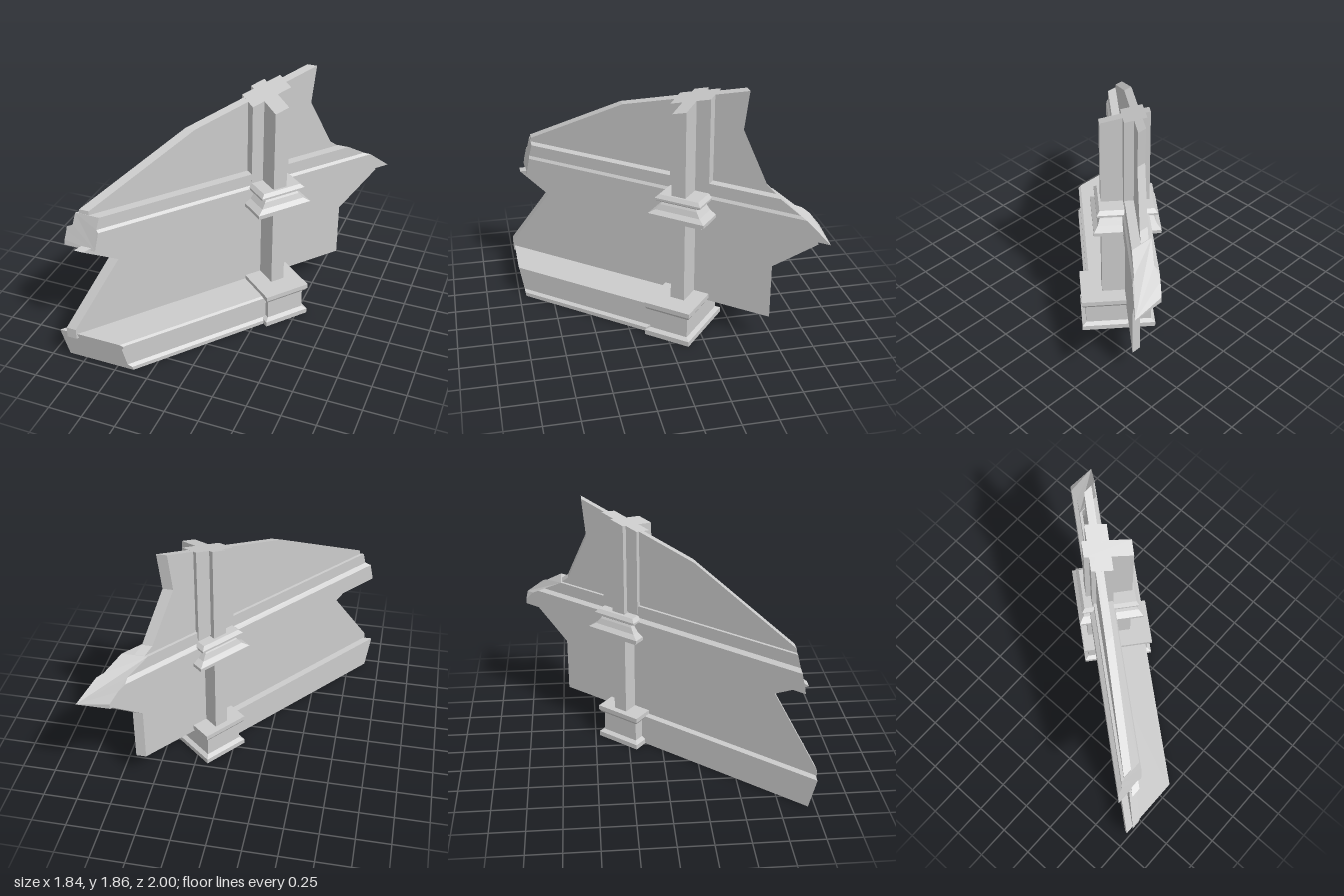
import * as THREE from 'three';

// The wall runs along u (towards back right); w is its outward normal.
const ANGLE = THREE.MathUtils.degToRad(50.1);
const C = Math.cos(ANGLE), S = Math.sin(ANGLE);
const fromUW = (u, y, w) => new THREE.Vector3(C * u + S * w, y, -S * u + C * w);
const fromZW = (z, y, w) => new THREE.Vector3((w - C * z) / S, y, z);

const material = new THREE.MeshStandardMaterial({ color: 0xcccccc, flatShading: true });

// Closed solid through matching rings; contour is the 2D outline of the caps.
function loft(name, contour, rings) {
  let outline = contour.map(([a, b]) => new THREE.Vector2(a, b));
  if (THREE.ShapeUtils.isClockWise(outline)) {
    outline = outline.reverse();
    rings = rings.map((r) => [...r].reverse());
  }
  const tris = [], n = outline.length, last = rings[rings.length - 1];
  for (let k = 0; k + 1 < rings.length; k++) {
    const a = rings[k], b = rings[k + 1];
    for (let i = 0; i < n; i++) {
      const j = (i + 1) % n;
      tris.push([a[i], a[j], b[j]], [a[i], b[j], b[i]]);
    }
  }
  for (const [i, j, k] of THREE.ShapeUtils.triangulateShape(outline, [])) {
    tris.push([last[i], last[j], last[k]], [rings[0][k], rings[0][j], rings[0][i]]);
  }
  // turn the faces outwards
  const volume = tris.reduce((v, [a, b, c]) => v + a.dot(b.clone().cross(c)), 0);
  const points = tris.flatMap(([a, b, c]) => (volume < 0 ? [a, c, b] : [a, b, c]));
  const geometry = new THREE.BufferGeometry().setFromPoints(points);
  geometry.computeVertexNormals();
  const mesh = new THREE.Mesh(geometry, material);
  mesh.name = name;
  return mesh;
}

// Slab between two w planes with a broken outline of [z, y] points
const panel = (name, outline, w0, w1) =>
  loft(name, outline, [w0, w1].map((w) => outline.map(([z, y]) => fromZW(z, y, w))));

// Moulding along the wall: [w, y, left end z, right end z]
const moulding = (name, section) =>
  loft(name, section, [2, 3].map((e) => section.map((p) => fromZW(p[e], p[1], p[0]))));

// Rectangular stack: levels of [y or y(z), inset along u, inset along w]
function stack(name, [u0, u1, w0, w1], levels) {
  const rect = [[u0, w0], [u1, w0], [u1, w1], [u0, w1]];
  const rings = levels.map(([y, du = 0, dw = 0]) => rect.map(([u, w]) => {
    const p = fromUW(u + (u === u0 ? du : -du), 0, w + (w === w0 ? dw : -dw));
    p.y = typeof y === 'function' ? y(p.z) : y;
    return p;
  }));
  return loft(name, rect, rings);
}

export function createModel() {
  const model = new THREE.Group();
  model.name = 'ruinedWall';
  const slope = (z) => 1.67 - 0.348 * z; // slanting broken top

  // Broken wall, thinner set-back upper part
  model.add(panel('lowerWall', [
    [1.0, 0.2], [1.0, 0.28], [0.724, 0.772], [0.917, 0.912], [0.87, 0.93], [-0.93, 0.93],
    [-0.944, 0.88], [-0.697, 0.628], [-0.697, 0.215], [0.2, 0.215],
  ], -0.02, 0.036));
  model.add(panel('upperWall', [
    [0.83, 1.1], [0.82, 1.19], [0.2, 1.6], [-0.547, 1.86], [-0.52, 1.58],
    [-0.665, 1.21], [-0.72, 1.155], [-0.72, 1.1],
  ], -0.07, -0.015));

  // String course at mid height
  model.add(moulding('stringCourse', [
    [0.062, 0.91, 0.875, -1], [0.062, 1.05, 0.85, -0.865], [0.048, 1.07, 0.845, -0.835],
    [0.048, 1.16, 0.825, -0.72], [-0.09, 1.16, 0.825, -0.72], [-0.09, 1.07, 0.845, -0.85],
    [-0.12, 1.05, 0.85, -0.9], [-0.12, 1.02, 0.855, -0.944], [-0.12, 0.95, 0.87, -1],
    [-0.12, 0.91, 0.875, -1],
  ]));

  // Wall plinth, ending inside the pillar base
  const plinth = [
    [0.32, 0], [0.32, 0.03], [0.295, 0.045], [0.295, 0.2], [0.308, 0.208],
    [0.308, 0.23], [0.29, 0.24], [-0.07, 0.24], [-0.07, 0],
  ];
  model.add(moulding('wallPlinth', plinth.map(([w, y]) =>
    [w, y, 0.95 + 0.18 * y, -S * 0.2 + C * w])));

  // Pillar on both faces, with a wider backing strip above the string course
  model.add(stack('pillar', [0.234, 0.341, -0.135, 0.203], [[0.2], [slope]]));
  model.add(stack('pillarBacking', [0.142, 0.448, -0.1, 0.05], [[1.1], [slope]]));

  // Pillar base with foot and cap
  model.add(stack('pillarBase', [0.104, 0.46, -0.18, 0.36], [
    [0], [0.038], [0.055, 0.03, 0.03], [0.213, 0.03, 0.03],
    [0.215, 0.012, 0.012], [0.235], [0.27],
  ]));

  // Pillar collar at the string course
  model.add(stack('pillarCollar', [0.08, 0.512, -0.203, 0.264], [
    [0.893, 0.03, 0.025], [0.915, 0.03, 0.025], [0.918], [0.943],
    [0.97, 0.045, 0.03], [1.01, 0.075, 0.045], [1.025, 0.085, 0.055],
    [1.035, 0.06, 0.04], [1.045, 0.04, 0.025], [1.06, 0.04, 0.025], [1.085, 0.065, 0.045],
  ]));

  return model;
}
